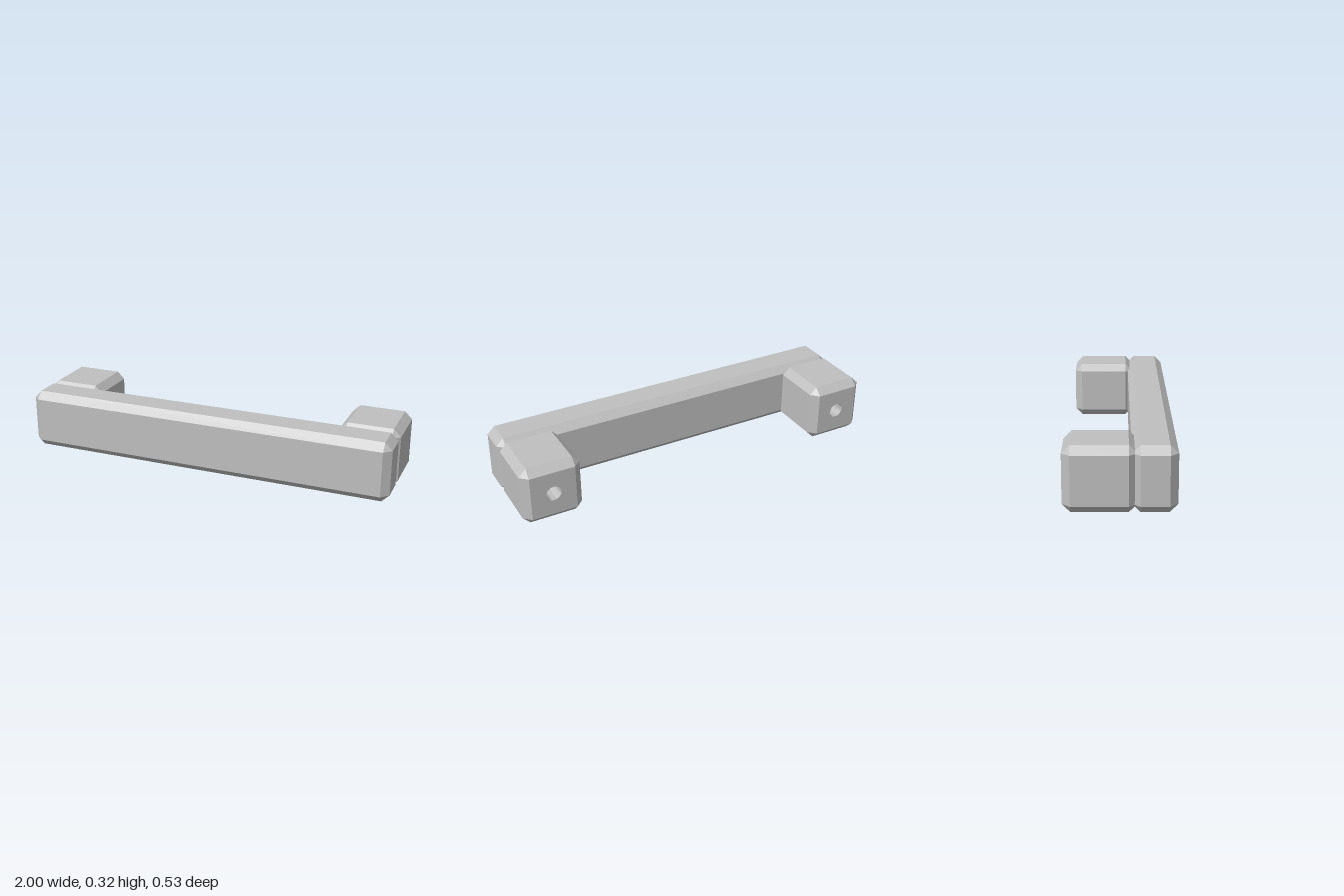
import * as THREE from 'three';
import { toCreasedNormals } from 'three/addons/utils/BufferGeometryUtils.js';
import { ConvexGeometry } from 'three/addons/geometries/ConvexGeometry.js';

const HEIGHT = 0.316;
const CHAMFER = 0.039;
const HOLE_RADIUS = 0.039;
const HOLE_DEPTH = 0.22;

// Box centred on the origin with flat chamfered edges and triangular corners
function chamferedBox(w, h, d, c = CHAMFER) {
  const points = [];
  const half = [w / 2, h / 2, d / 2];
  for (const sx of [-1, 1]) for (const sy of [-1, 1]) for (const sz of [-1, 1]) {
    for (let axis = 0; axis < 3; axis++) {
      const p = half.map((v, i) => (i === axis ? v : v - c));
      points.push(new THREE.Vector3(p[0] * sx, p[1] * sy, p[2] * sz));
    }
  }
  return new ConvexGeometry(points);
}

// Drops the triangles of the rear (-z) face so a drilled face can replace it
function withoutRearFace(geometry) {
  const pos = geometry.attributes.position;
  const normal = geometry.attributes.normal;
  const kept = [];
  for (let i = 0; i < pos.count; i += 3) {
    if (normal.getZ(i) < -0.99) continue;
    for (let k = i; k < i + 3; k++) kept.push(pos.getX(k), pos.getY(k), pos.getZ(k));
  }
  const open = new THREE.BufferGeometry();
  open.setAttribute('position', new THREE.Float32BufferAttribute(kept, 3));
  open.computeVertexNormals();
  return open;
}

function createMount(material, w, h, d) {
  const mount = new THREE.Group();
  const add = (name, geometry, z = 0) => {
    const mesh = new THREE.Mesh(geometry, material);
    mesh.name = name;
    mesh.position.z = z;
    mount.add(mesh);
  };
  add('mountBlock', withoutRearFace(chamferedBox(w, h, d)));

  // Rear face with a round opening
  const x = w / 2 - CHAMFER, y = h / 2 - CHAMFER;
  const face = new THREE.Shape([
    new THREE.Vector2(-x, -y), new THREE.Vector2(x, -y),
    new THREE.Vector2(x, y), new THREE.Vector2(-x, y),
  ]);
  face.holes.push(new THREE.Path().absarc(0, 0, HOLE_RADIUS, 0, Math.PI * 2, true));
  add('mountRearFace', new THREE.ShapeGeometry(face, 32).rotateY(Math.PI), -d / 2);

  // Blind screw hole: inward-facing wall and floor
  const profile = [[HOLE_RADIUS, 0], [HOLE_RADIUS, -HOLE_DEPTH], [0, -HOLE_DEPTH]]
    .map(([r, t]) => new THREE.Vector2(r, t));
  const hole = new THREE.LatheGeometry(profile, 32).rotateX(-Math.PI / 2);
  add('screwHole', toCreasedNormals(hole, 0.6), -d / 2);
  return mount;
}

export function createModel() {
  const model = new THREE.Group();
  model.name = 'pullHandle';
  const grey = new THREE.MeshStandardMaterial({ color: 0xbfbfbf });
  grey.name = 'lightGrey';

  // Long grip bar at the front
  const bar = new THREE.Mesh(chamferedBox(2, HEIGHT, 0.21), grey);
  bar.name = 'gripBar';
  bar.position.set(0, HEIGHT / 2, 0.158);
  model.add(bar);

  // Mounting block behind each end, slightly sunk into the bar
  for (const side of [-1, 1]) {
    const mount = createMount(grey, 0.316, HEIGHT, 0.342);
    mount.name = side > 0 ? 'leftMount' : 'rightMount';
    mount.position.set(side * (1 - 0.158), HEIGHT / 2, -0.092);
    model.add(mount);
  }
  return model;
}
